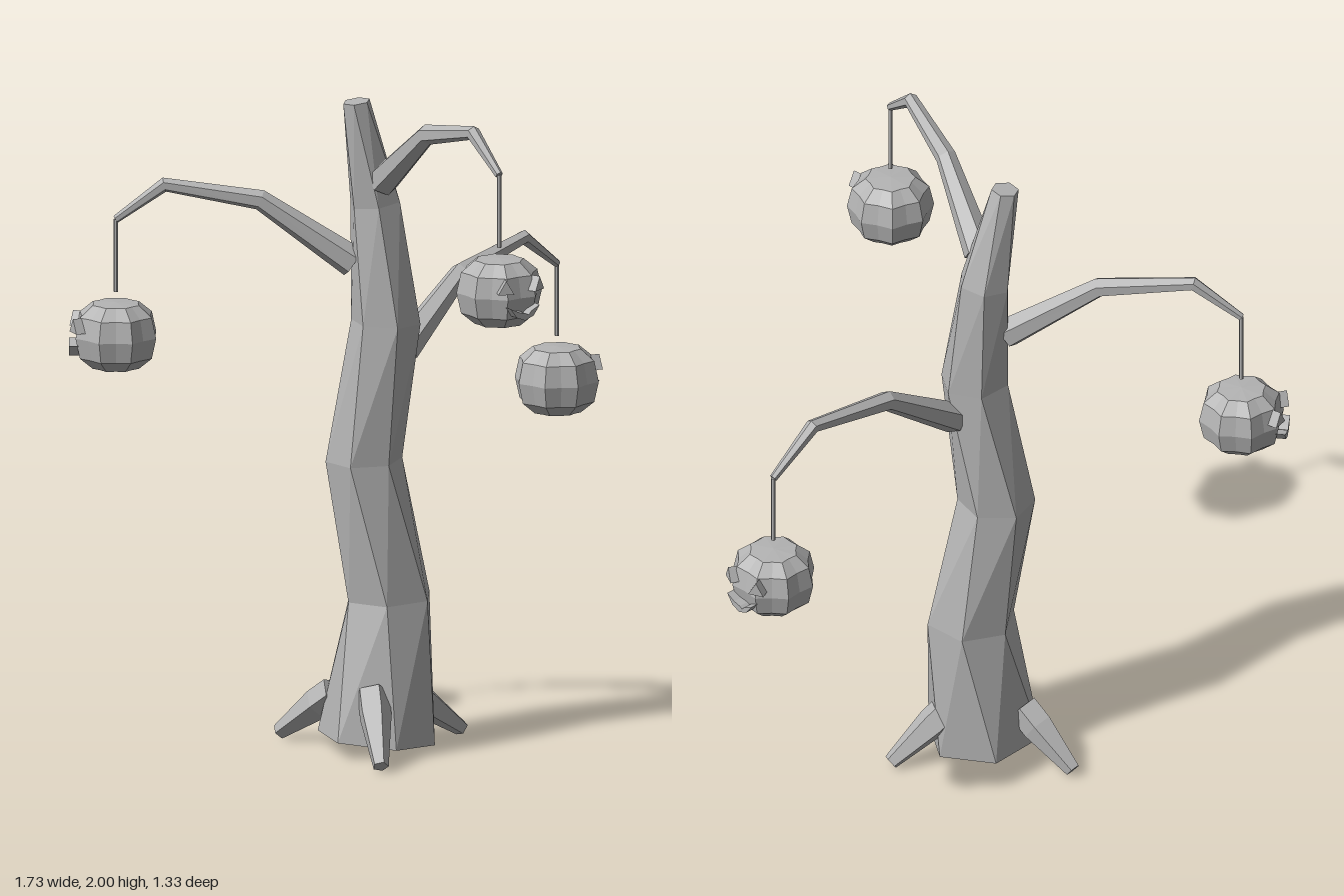
import * as THREE from 'three';

const V = (x, y, z) => new THREE.Vector3(x, y, z);

// Skin a stack of rings (first to last) and close both ends with fans.
function loft(rings, startTip, endTip) {
  const pos = [];
  const tri = (a, b, c) => [a, b, c].forEach((p) => pos.push(p.x, p.y, p.z));
  const middle = (ring) => ring.reduce((s, p) => s.add(p), V(0, 0, 0)).divideScalar(ring.length);
  const n = rings[0].length;
  const first = rings[0], last = rings[rings.length - 1];
  const a = startTip || middle(first), b = endTip || middle(last);
  for (let i = 0; i < n; i++) {
    const j = (i + 1) % n;
    for (let k = 0; k < rings.length - 1; k++) {
      const lo = rings[k], hi = rings[k + 1];
      tri(lo[i], hi[i], lo[j]);
      tri(lo[j], hi[i], hi[j]);
    }
    tri(a, first[i], first[j]);
    tri(b, last[j], last[i]);
  }
  const geo = new THREE.BufferGeometry();
  geo.setAttribute('position', new THREE.Float32BufferAttribute(pos, 3));
  geo.computeVertexNormals();
  return geo;
}

// Tapered limb along a bent path lying in one vertical plane.
function limb(points, radii, sides = 6) {
  const dir = points[points.length - 1].clone().sub(points[0]).setY(0).normalize();
  const side = V(-dir.z, 0, dir.x);
  return loft(points.map((p, k) => {
    const before = points[Math.max(k - 1, 0)], after = points[Math.min(k + 1, points.length - 1)];
    const t1 = p.clone().sub(before).normalize(), t2 = after.clone().sub(p).normalize();
    const tangent = t1.add(t2).normalize();
    const normal = side.clone().cross(tangent);
    return Array.from({ length: sides }, (_, i) => {
      const a = ((i + 0.5) / sides) * Math.PI * 2;
      return p.clone()
        .addScaledVector(side, Math.cos(a) * radii[k])
        .addScaledVector(normal, Math.sin(a) * radii[k]);
    });
  }));
}

function trunkGeometry() {
  // x, y, z, radius, twist in degrees, sideways tilt
  const levels = [
    [0, 0.037, -0.105, 0.176, 0, -0.1],
    [0.045, 0.46, -0.12, 0.135, 22, 0.03],
    [-0.03, 0.88, -0.13, 0.115, 40, 0.02],
    [0.03, 1.3, -0.105, 0.104, 60, -0.04],
    [0.005, 1.66, -0.128, 0.079, 72, 0.12],
    [-0.06, 1.975, -0.112, 0.041, 90, 0.12],
  ];
  return loft(levels.map(([x, y, z, r, twist, tilt]) =>
    Array.from({ length: 6 }, (_, i) => {
      const a = THREE.MathUtils.degToRad(30 + twist + i * 60);
      const dx = Math.cos(a) * r;
      return V(x + dx, y + dx * tilt, z + Math.sin(a) * r);
    })));
}

// Eight-lobed squat gourd.
function pumpkinGeometry() {
  const profile = [[0.074, -0.096], [0.115, -0.062], [0.129, 0], [0.115, 0.062], [0.074, 0.096]];
  return loft(profile.map(([r, y]) =>
    Array.from({ length: 16 }, (_, i) => {
      const a = (i / 16) * Math.PI * 2;
      const lobe = i % 2 ? 1 : 0.89;
      return V(Math.cos(a) * r * lobe, y, Math.sin(a) * r * lobe);
    })), V(0, -0.1, 0), V(0, 0.1, 0));
}

function eyeGeometry() {
  const s = new THREE.Shape();
  s.moveTo(-0.024, -0.018);
  s.lineTo(0.024, -0.018);
  s.lineTo(0, 0.024);
  return new THREE.ExtrudeGeometry(s, { depth: 0.05, bevelEnabled: false });
}

// Crescent smile with one tooth notch.
function mouthGeometry() {
  const s = new THREE.Shape();
  s.moveTo(-0.052, 0.016);
  s.lineTo(-0.03, -0.014);
  s.lineTo(0, -0.026);
  s.lineTo(0.03, -0.014);
  s.lineTo(0.052, 0.016);
  s.lineTo(0.022, 0.001);
  s.lineTo(0.012, -0.01);
  s.lineTo(0.002, -0.004);
  s.lineTo(-0.022, 0.001);
  return new THREE.ExtrudeGeometry(s, { depth: 0.06, bevelEnabled: false });
}

export function createModel() {
  const model = new THREE.Group();
  model.name = 'pumpkinTree';
  const grey = new THREE.MeshStandardMaterial({ color: 0xb4b4b4, flatShading: true });
  grey.name = 'grey';
  const add = (parent, name, geo) => {
    const mesh = new THREE.Mesh(geo, grey);
    mesh.name = name;
    parent.add(mesh);
    return mesh;
  };

  add(model, 'trunk', trunkGeometry());

  // Roots
  const roots = [
    ['frontRoot', V(-0.05, 0.2, 0), V(-0.09, 0.022, 0.185)],
    ['leftRoot', V(0.11, 0.165, -0.145), V(0.3, 0.022, -0.193)],
    ['backRoot', V(-0.1, 0.165, -0.19), V(-0.222, 0.022, -0.335)],
  ];
  for (const [name, from, to] of roots) {
    add(model, name, limb([from, from.clone().lerp(to, 0.3), to], [0.05, 0.05, 0.024], 5));
  }

  // Branches, each with a hanging pumpkin that faces outward
  const pumpkin = pumpkinGeometry(), eye = eyeGeometry(), mouth = mouthGeometry();
  const branches = [
    ['front', [V(0.01, 1.735, -0.075), V(0.065, 1.925, 0.16), V(0.125, 1.978, 0.395), V(0.162, 1.875, 0.52)]],
    ['left', [V(0.1, 1.2, -0.145), V(0.33, 1.385, -0.285), V(0.585, 1.435, -0.445), V(0.72, 1.325, -0.532)]],
    ['right', [V(-0.06, 1.48, -0.14), V(-0.32, 1.67, -0.23), V(-0.585, 1.715, -0.33), V(-0.72, 1.61, -0.378)]],
  ];
  for (const [name, path] of branches) {
    const group = new THREE.Group();
    group.name = name + 'Branch';
    model.add(group);
    add(group, 'limb', limb(path, [0.048, 0.031, 0.022, 0.012]));

    const end = path[3];
    const cord = add(group, 'cord', new THREE.CylinderGeometry(0.007, 0.007, 0.22, 6));
    cord.position.set(end.x, end.y - 0.11, end.z);

    const lantern = new THREE.Group();
    lantern.name = name + 'Pumpkin';
    lantern.position.set(end.x, end.y - 0.352, end.z);
    lantern.rotation.y = Math.atan2(end.x - path[0].x, end.z - path[0].z);
    group.add(lantern);
    add(lantern, 'pumpkinBody', pumpkin);
    for (const s of [-1, 1]) {
      const e = add(lantern, s < 0 ? 'rightEye' : 'leftEye', eye);
      const turn = s * 0.44;
      e.position.set(Math.sin(turn) * 0.09, 0.038, Math.cos(turn) * 0.09);
      e.rotation.y = turn;
    }
    add(lantern, 'mouth', mouth).position.set(0, -0.037, 0.078);
  }
  return model;
}
